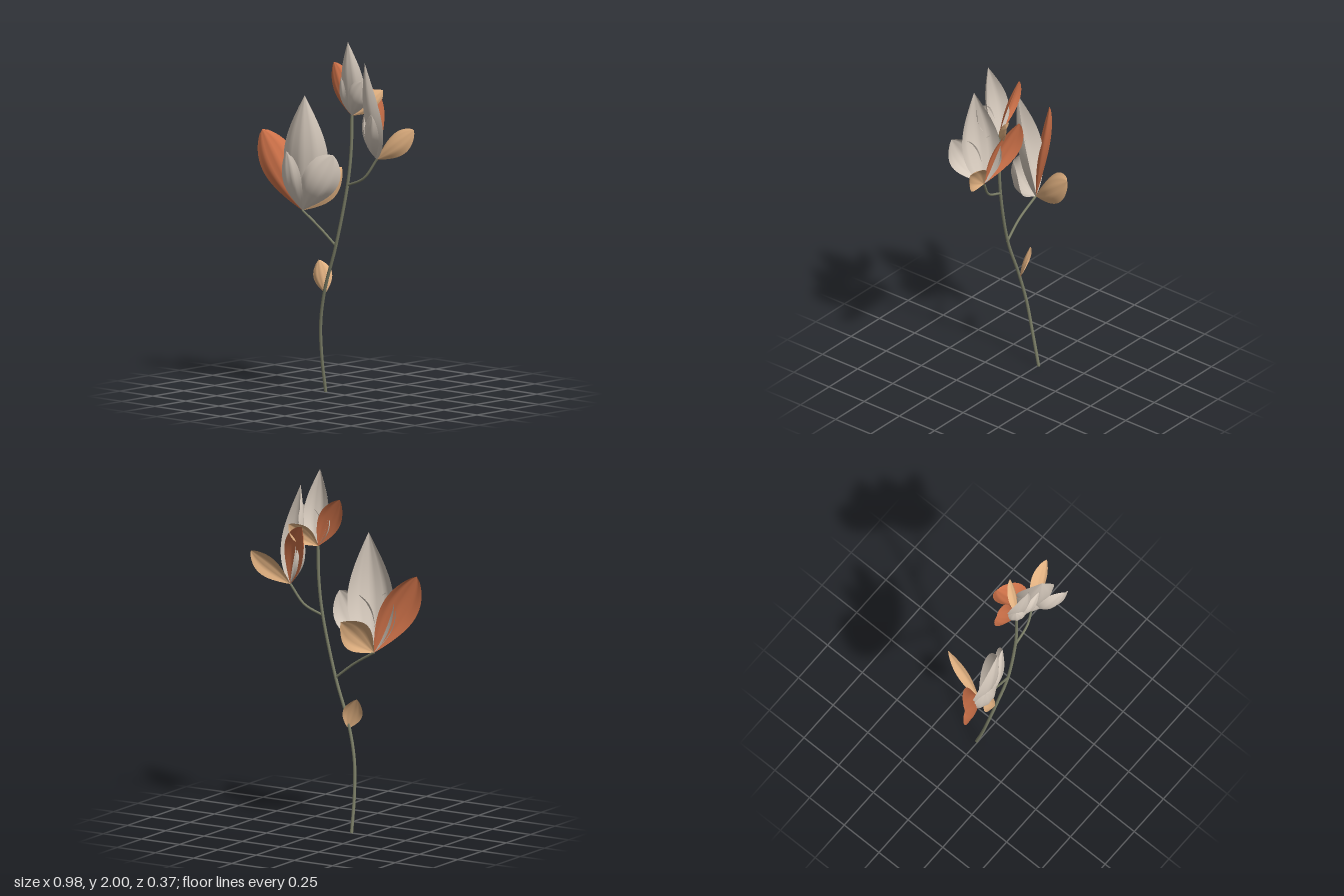
import * as THREE from 'three';

const V = (a) => new THREE.Vector3(...a);
const mat = (color) => new THREE.MeshStandardMaterial({ color, side: THREE.DoubleSide });
const pale = mat(0xd6cabd), rust = mat(0xd0734a), tan = mat(0xe0b080), bark = mat(0x7a7d66);

// Cupped petal from base to tip: `out` is its outer side, `peak` shifts the widest point,
// `blunt` below 1 rounds the ends, `belly` bows it outward, `cup` is half the arc across it.
function petal(name, material, { base = [0, 0, 0], tip, out, width, peak, blunt, belly, cup = 1 }) {
  const NU = 16, NV = 28;
  const b = V(base), axis = V(tip).sub(b), dir = axis.clone().normalize();
  const n = V(out).addScaledVector(dir, -V(out).dot(dir)).normalize();
  const side = new THREE.Vector3().crossVectors(dir, n);
  const pos = [], index = [];
  for (let j = 0; j <= NV; j++) {
    const t = j / NV;
    const half = width / 2 * Math.pow(Math.max(0, Math.sin(Math.PI * Math.pow(t, peak))), blunt);
    const r = half / Math.sin(cup);
    for (let i = 0; i <= NU; i++) {
      const a = (i / NU * 2 - 1) * cup;
      const ridge = half * 0.025 * Math.cos(a * 12 / cup);
      const p = b.clone().addScaledVector(axis, t)
        .addScaledVector(side, r * Math.sin(a))
        .addScaledVector(n, belly * Math.sin(Math.PI * t) - r * (1 - Math.cos(a)) + ridge);
      pos.push(p.x, p.y, p.z);
      if (i < NU && j < NV) {
        const k = j * (NU + 1) + i, m = k + NU + 1;
        index.push(k, k + 1, m, k + 1, m + 1, m);
      }
    }
  }
  const g = new THREE.BufferGeometry();
  g.setAttribute('position', new THREE.Float32BufferAttribute(pos, 3));
  g.setIndex(index);
  g.computeVertexNormals();
  const mesh = new THREE.Mesh(g, material);
  mesh.name = name;
  return mesh;
}

// One open blossom with its base at the origin
function blossom(name, position, turn, scale) {
  const f = new THREE.Group();
  f.name = name;
  f.add(
    petal('tallPetal', pale, { tip: [0.077, 0.66, 0.065], out: [0.4, -0.1, 0.9], width: 0.26, peak: 0.8, blunt: 1, belly: 0.045, cup: 1.2 }),
    petal('leftFrontPetal', pale, { tip: [-0.045, 0.335, 0.085], out: [-0.2, -0.1, 0.97], width: 0.175, peak: 1.25, blunt: 0.75, belly: 0.05, cup: 0.9 }),
    petal('rightFrontPetal', pale, { tip: [0.217, 0.33, -0.015], out: [0.42, -0.28, 0.86], width: 0.21, peak: 1.35, blunt: 0.75, belly: 0.06 }),
    petal('rustPetal', rust, { tip: [-0.225, 0.44, 0.085], out: [0.6, 0.15, 0.78], width: 0.205, peak: 1.3, blunt: 0.7, belly: 0.02, cup: 0.9 }),
    petal('tanPetal', tan, { tip: [0.05, 0.215, -0.265], out: [0.86, 0.29, 0.41], width: 0.17, peak: 1.25, blunt: 0.75, belly: 0.025, cup: 1 }),
  );
  f.position.set(...position);
  f.rotation.y = -THREE.MathUtils.degToRad(turn);
  f.scale.setScalar(scale);
  return f;
}

function twig(name, points, radius) {
  const curve = new THREE.CatmullRomCurve3(points.map(V));
  const m = new THREE.Mesh(new THREE.TubeGeometry(curve, 48, radius, 10), bark);
  m.name = name;
  return m;
}

export function createModel() {
  const g = new THREE.Group();
  g.name = 'blossomBranch';
  const left = [-0.24, 1.015, 0.085], right = [0.275, 1.35, 0.035], top = [0.11, 1.58, 0.06];

  // Stem and side branches
  g.add(
    twig('stem', [[-0.152, 0, -0.008], [-0.146, 0.2, 0.03], [-0.128, 0.4, 0.058], [-0.078, 0.6, 0.075],
      [0.008, 0.84, 0.082], [0.088, 1.2, 0.07], [0.107, 1.4, 0.062], top], 0.009),
    twig('leftBranch', [[0.015, 0.84, 0.082], [-0.1, 0.93, 0.09], left], 0.007),
    twig('rightBranch', [[0.088, 1.19, 0.07], [0.2, 1.24, 0.06], right], 0.007),
  );

  // Blossoms
  g.add(
    blossom('leftBlossom', left, 0, 1),
    blossom('rightBlossom', right, 60, 0.83),
    blossom('topBlossom', top, 27, 0.64),
  );

  // Small leaf low on the stem
  g.add(petal('leaf', tan, { base: [-0.08, 0.57, 0.07], tip: [-0.15, 0.745, 0.05], out: [0.5, -0.1, 0.85],
    width: 0.11, peak: 1.15, blunt: 0.75, belly: 0.01, cup: 0.9 }));
  return g;
}
